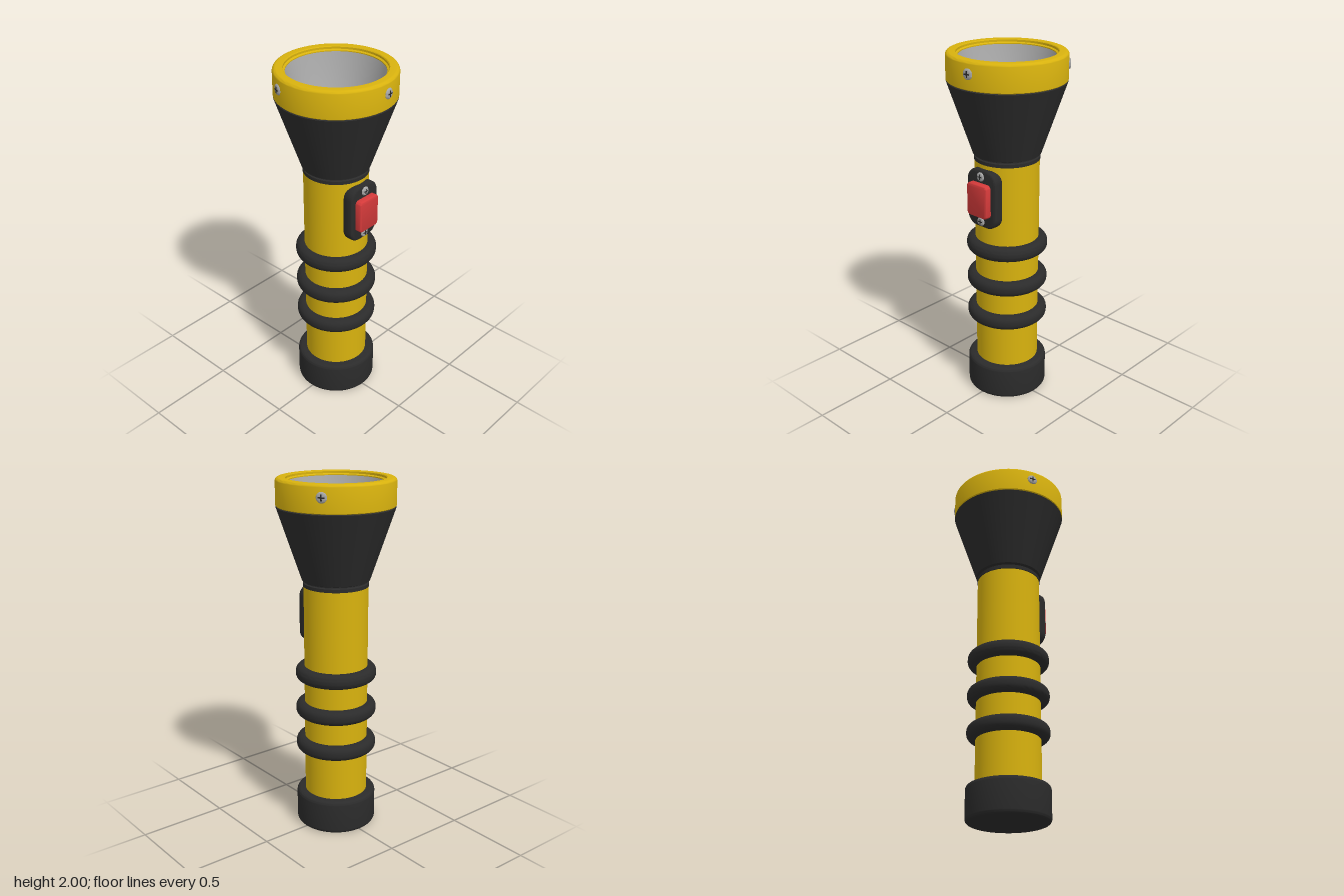
import * as THREE from 'three';
import { toCreasedNormals } from 'three/addons/utils/BufferGeometryUtils.js';

const mat = (name, color) => new THREE.MeshStandardMaterial({ name, color });

export function createModel() {
  const yellow = mat('yellow plastic', 0xd8b20e);
  const black = mat('black rubber', 0x2b2b2b);
  const red = mat('red switch', 0xd43a3a);
  const silver = mat('silver', 0xa6a6a6);

  const model = new THREE.Group();
  model.name = 'flashlight';
  const body = new THREE.Group();
  body.name = 'body';
  body.position.x = -0.005;
  model.add(body);

  const add = (parent, name, geometry, material) => {
    const mesh = new THREE.Mesh(geometry, material);
    mesh.name = name;
    parent.add(mesh);
    return mesh;
  };
  const lathe = (points, crease = 0.6) => toCreasedNormals(
    new THREE.LatheGeometry(points.map(([r, y]) => new THREE.Vector2(r, y)), 72), crease);

  // quarter round of radius b about (r, y), from angle a0 to a0 + 90 degrees
  const arc = (r, y, b, a0) => Array.from({ length: 7 }, (_, i) => {
    const a = a0 + (i / 6) * Math.PI / 2;
    return [r + b * Math.cos(a), y + b * Math.sin(a)];
  });
  // disc or ring with rounded outer edges
  const roundedDisc = (inner, r, y0, y1, b) => [
    [inner, y0], ...arc(r - b, y0 + b, b, -Math.PI / 2), ...arc(r - b, y1 - b, b, 0), [inner, y1]];

  // handle
  add(body, 'endCap', lathe(roundedDisc(0, 0.227, 0, 0.198, 0.022)), black);
  add(body, 'tube', lathe([[0.178, 0.15], [0.178, 1.43]]), yellow);
  for (const y of [0.49, 0.702, 0.915]) {
    add(body, 'gripRing', lathe(roundedDisc(0.17, 0.227, y - 0.042, y + 0.042, 0.036)), black);
  }

  // flared head with a grooved collar
  add(body, 'head', lathe([
    [0.17, 1.41], [0.181, 1.413], [0.181, 1.432], [0.173, 1.436],
    [0.173, 1.441], [0.187, 1.447], [0.322, 1.845], [0.31, 1.855]]), black);
  add(body, 'bezel', lathe([
    [0.29, 1.85], [0.319, 1.85], [0.323, 1.854], ...arc(0.303, 1.98, 0.02, 0),
    [0.272, 2], [0.268, 1.996], [0.268, 1.985], [0.258, 1.98], [0.258, 1.97]]), yellow);

  // parabolic reflector and bulb
  const dish = [];
  for (let i = 0; i <= 20; i++) {
    const t = 1 - i / 20;
    dish.push([0.258 * t, 1.55 + 0.425 * t * t]);
  }
  add(body, 'reflector', lathe(dish, 1.2), silver);
  add(body, 'bulbCollar', lathe(roundedDisc(0, 0.046, 1.54, 1.595, 0.005)), silver);
  add(body, 'bulb', new THREE.SphereGeometry(0.041, 32, 20), silver).position.y = 1.61;

  // cross-head screw facing +x
  const addScrew = (parent, x, y, r) => {
    const screw = new THREE.Group();
    screw.name = 'screw';
    screw.position.set(x, y, 0);
    screw.rotation.z = -Math.PI / 2;
    const h = 0.012;
    add(screw, 'screwHead', lathe([
      [r, -0.012], [r, h * 0.4], [r * 0.85, h * 0.85], [r * 0.65, h], [0, h]]), silver);
    for (const [w, d] of [[1.2, 0.26], [0.26, 1.2]]) {
      add(screw, 'screwSlot', new THREE.BoxGeometry(w * r, 0.002, d * r), black).position.y = h;
    }
    parent.add(screw);
  };
  for (const degrees of [-5.6, 110, 232]) {
    const turn = new THREE.Group();
    turn.name = 'bezelScrew';
    turn.rotation.y = -THREE.MathUtils.degToRad(degrees);
    addScrew(turn, 0.319, 1.935, 0.029);
    body.add(turn);
  }

  // rounded plate facing +x, spanning x0 to x1
  const plate = (width, height, corner, x0, x1, b) => {
    const w = width / 2, h = height / 2, c = corner, s = new THREE.Shape();
    s.absarc(w - c, h - c, c, 0, Math.PI / 2);
    s.absarc(c - w, h - c, c, Math.PI / 2, Math.PI);
    s.absarc(c - w, c - h, c, Math.PI, Math.PI * 1.5);
    s.absarc(w - c, c - h, c, Math.PI * 1.5, Math.PI * 2);
    const g = new THREE.ExtrudeGeometry(s, {
      depth: x1 - x0 - 2 * b, bevelThickness: b, bevelSize: b, bevelOffset: -b,
      bevelSegments: 4, curveSegments: 10 });
    g.translate(0, 0, x0 + b).rotateY(Math.PI / 2);
    return toCreasedNormals(g, 0.6);
  };

  // switch on the left side
  const control = new THREE.Group();
  control.name = 'switch';
  control.position.y = 1.226;
  body.add(control);
  add(control, 'switchPlate', plate(0.208, 0.328, 0.065, 0.143, 0.207, 0.014), black);
  add(control, 'switchButton', plate(0.146, 0.188, 0.022, 0.19, 0.243, 0.01), red);
  for (const side of [-1, 1]) addScrew(control, 0.204, side * 0.129, 0.025);

  return model;
}
